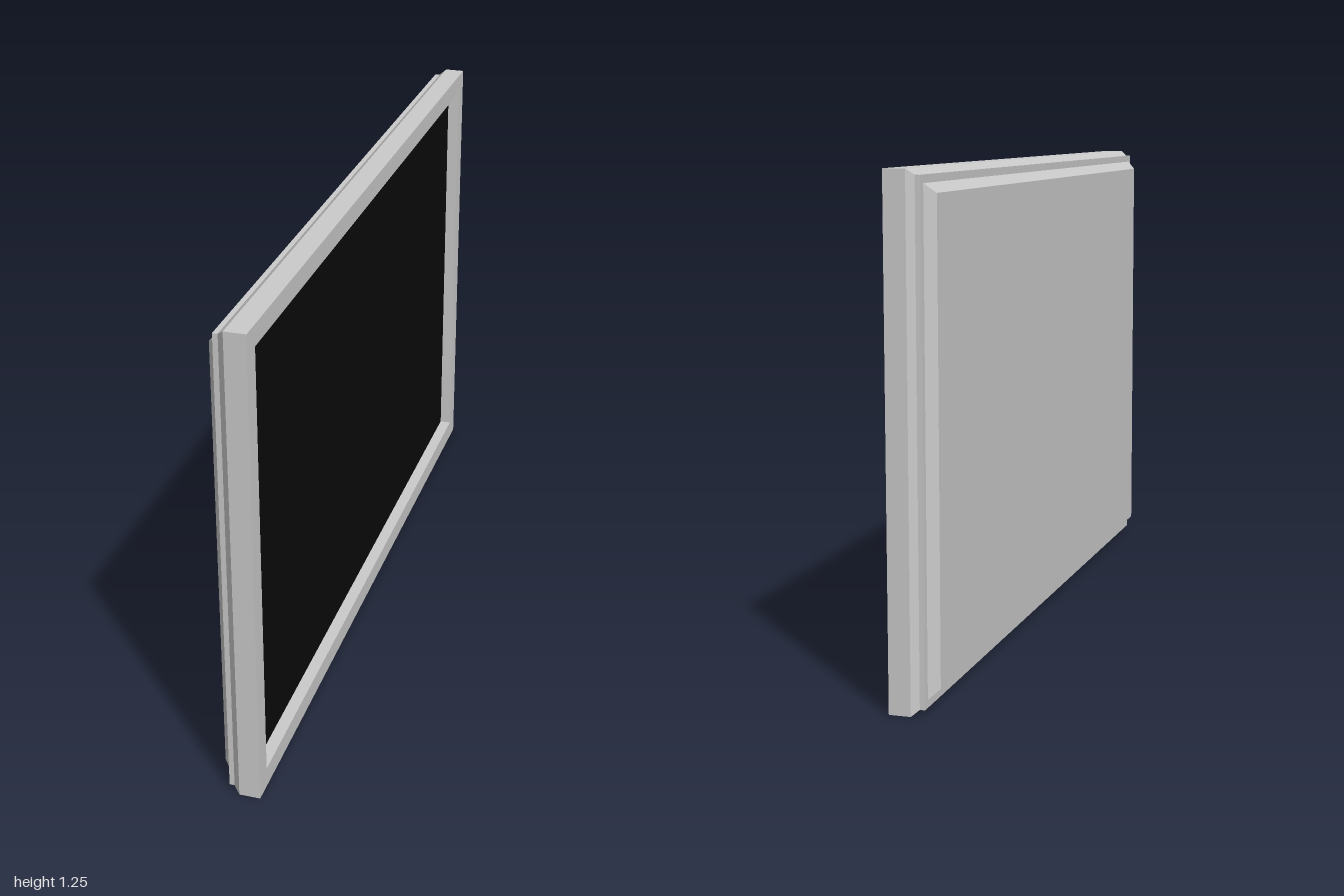
import * as THREE from 'three';

const HEIGHT = 1.25, DEPTH = 2;

// The four corners of the outline at a given x, moved inward by inset
function corners([x, inset]) {
  const y = HEIGHT / 2 - inset, z = DEPTH / 2 - inset;
  return [[1, 1], [1, -1], [-1, -1], [-1, 1]].map(([sy, sz]) => [x, HEIGHT / 2 + sy * y, sz * z]);
}

// Sweeps a profile of [x, inset] points around the rectangular outline
function rectSweep(profile, capEnd = false) {
  const positions = [];
  const quad = (a, b, c, d) => positions.push(...a, ...b, ...c, ...a, ...c, ...d);
  const loops = profile.map(corners);
  for (let i = 0; i < loops.length - 1; i++) {
    for (let k = 0; k < 4; k++) {
      const n = (k + 1) % 4;
      quad(loops[i][k], loops[i][n], loops[i + 1][n], loops[i + 1][k]);
    }
  }
  if (capEnd) quad(...loops[loops.length - 1]);
  const geometry = new THREE.BufferGeometry();
  geometry.setAttribute('position', new THREE.Float32BufferAttribute(positions, 3));
  geometry.computeVertexNormals();
  return geometry;
}

export function createModel() {
  const group = new THREE.Group();
  const grey = new THREE.MeshStandardMaterial({ color: 0xcccccc, flatShading: true });
  const black = new THREE.MeshStandardMaterial({ color: 0x0a0a0a });
  const add = (name, geometry, material = grey) => {
    const mesh = new THREE.Mesh(geometry, material);
    mesh.name = name;
    group.add(mesh);
    return mesh;
  };

  // Front frame: recessed opening, flat bezel and outer edge
  add('frame', rectSweep([[0.022, 0.052], [0.054, 0.052], [0.054, 0], [0, 0]]));

  // Chamfered ledge behind the frame
  add('rearLedge', rectSweep([[0, 0], [-0.017, 0.014], [-0.03, 0.014], [-0.03, 0.033]]));

  // Bevelled back panel
  add('backPanel', rectSweep([[-0.03, 0.033], [-0.054, 0.055]], true));

  // Dark screen set into the opening, facing +x
  const screen = add('screen', new THREE.PlaneGeometry(DEPTH - 0.104, HEIGHT - 0.104), black);
  screen.rotation.y = Math.PI / 2;
  screen.position.set(0.022, HEIGHT / 2, 0);

  return group;
}
